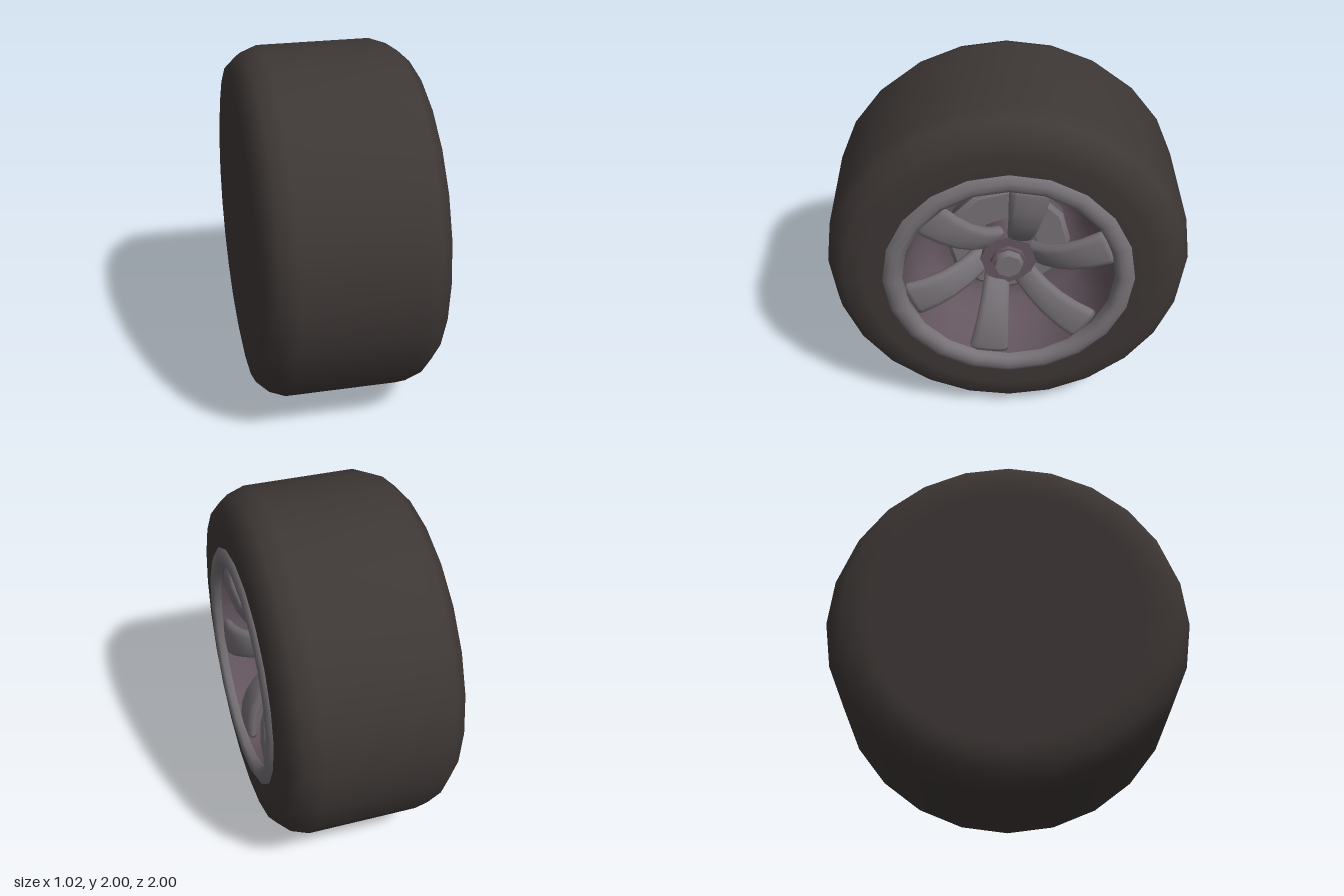
import * as THREE from 'three';

const material = (name, color) => {
  const m = new THREE.MeshStandardMaterial({ color });
  m.name = name;
  return m;
};

export function createModel() {
  const rubber = material('dark rubber', 0x3d3735);
  const metal = material('grey metal', 0x767176);
  const inner = material('mauve metal', 0x64565f);

  const group = new THREE.Group();
  group.name = 'wheel';
  const wheel = new THREE.Group();
  wheel.name = 'wheelAssembly';
  wheel.position.y = 1; // axle height
  group.add(wheel);

  const add = (name, geometry, mat) => {
    const mesh = new THREE.Mesh(geometry, mat);
    mesh.name = name;
    wheel.add(mesh);
    return mesh;
  };
  // Profile of [radius, x] pairs turned around the x axis
  const turned = (name, profile, sides, mat) => add(name,
    new THREE.LatheGeometry(profile.map(([r, x]) => new THREE.Vector2(r, x)), sides).rotateZ(-Math.PI / 2), mat);
  // Solid disc along the x axis
  const disc = (name, rFront, rBack, x0, x1, sides, mat) => add(name,
    new THREE.CylinderGeometry(rFront, rBack, x1 - x0, sides).rotateZ(-Math.PI / 2).translate((x0 + x1) / 2, 0, 0), mat);

  // Tire with a closed back
  turned('tire', [
    [0, -0.51], [0.74, -0.51], [0.79, -0.51], [0.9, -0.495], [0.965, -0.425], [1, -0.335],
    [1, 0.305], [0.965, 0.405], [0.9, 0.475], [0.79, 0.49], [0.64, 0.485],
  ], 24, rubber);

  // Rounded rim lip and the bowl behind it
  turned('rimLip', [
    [0.69, 0.47], [0.685, 0.492], [0.65, 0.51], [0.615, 0.51], [0.588, 0.495], [0.58, 0.455],
  ], 20, metal);
  turned('rimBowl', [
    [0.58, 0.46], [0.57, 0.36], [0.53, 0.22], [0.46, 0.12], [0.36, 0.08], [0, 0.08],
  ], 20, inner);

  // Brake disc, hub and centre cap
  disc('brakeDisc', 0.355, 0.355, 0.08, 0.13, 12, inner);
  disc('brakeDiscFace', 0.33, 0.355, 0.13, 0.15, 12, metal);
  disc('hub', 0.16, 0.17, 0.13, 0.32, 8, inner);
  disc('capCollar', 0.095, 0.1, 0.32, 0.34, 8, inner);
  disc('centreCap', 0.075, 0.085, 0.34, 0.38, 8, metal);

  // Six curved spokes, widening towards the rim
  const spoke = spokeGeometry();
  for (let i = 0; i < 6; i++) {
    add('spoke', spoke, metal).rotation.x = THREE.MathUtils.degToRad(-7 + i * 60);
  }
  return group;
}

// Loft of rounded sections: [radius, x, half width, half thickness]
function spokeGeometry() {
  const stations = [
    [0.13, 0.25, 0.07, 0.04], [0.18, 0.305, 0.073, 0.04], [0.25, 0.36, 0.08, 0.04], [0.34, 0.405, 0.089, 0.038],
    [0.44, 0.43, 0.1, 0.035], [0.54, 0.435, 0.111, 0.033], [0.565, 0.433, 0.11, 0.029], [0.568, 0.433, 0, 0],
  ];
  const sides = 12, positions = [], indices = [];
  const soften = (v) => Math.sign(v) * Math.abs(v) ** 0.7;
  stations.forEach(([r, x, w, t], i) => {
    // Tilt each section square to the curve
    const a = stations[Math.max(i - 1, 0)], b = stations[Math.min(i + 1, stations.length - 1)];
    const len = Math.hypot(b[0] - a[0], b[1] - a[1]);
    const nx = (b[0] - a[0]) / len, ny = -(b[1] - a[1]) / len;
    for (let j = 0; j < sides; j++) {
      const angle = (j / sides) * Math.PI * 2;
      const n = t * soften(Math.sin(angle));
      positions.push(x + nx * n, r + ny * n, -0.045 + w * soften(Math.cos(angle)));
      if (i === stations.length - 1) continue;
      const p = i * sides + j, q = i * sides + (j + 1) % sides;
      indices.push(p, q, q + sides, p, q + sides, p + sides);
    }
  });
  const geometry = new THREE.BufferGeometry();
  geometry.setAttribute('position', new THREE.Float32BufferAttribute(positions, 3));
  geometry.setIndex(indices);
  geometry.computeVertexNormals();
  return geometry;
}
